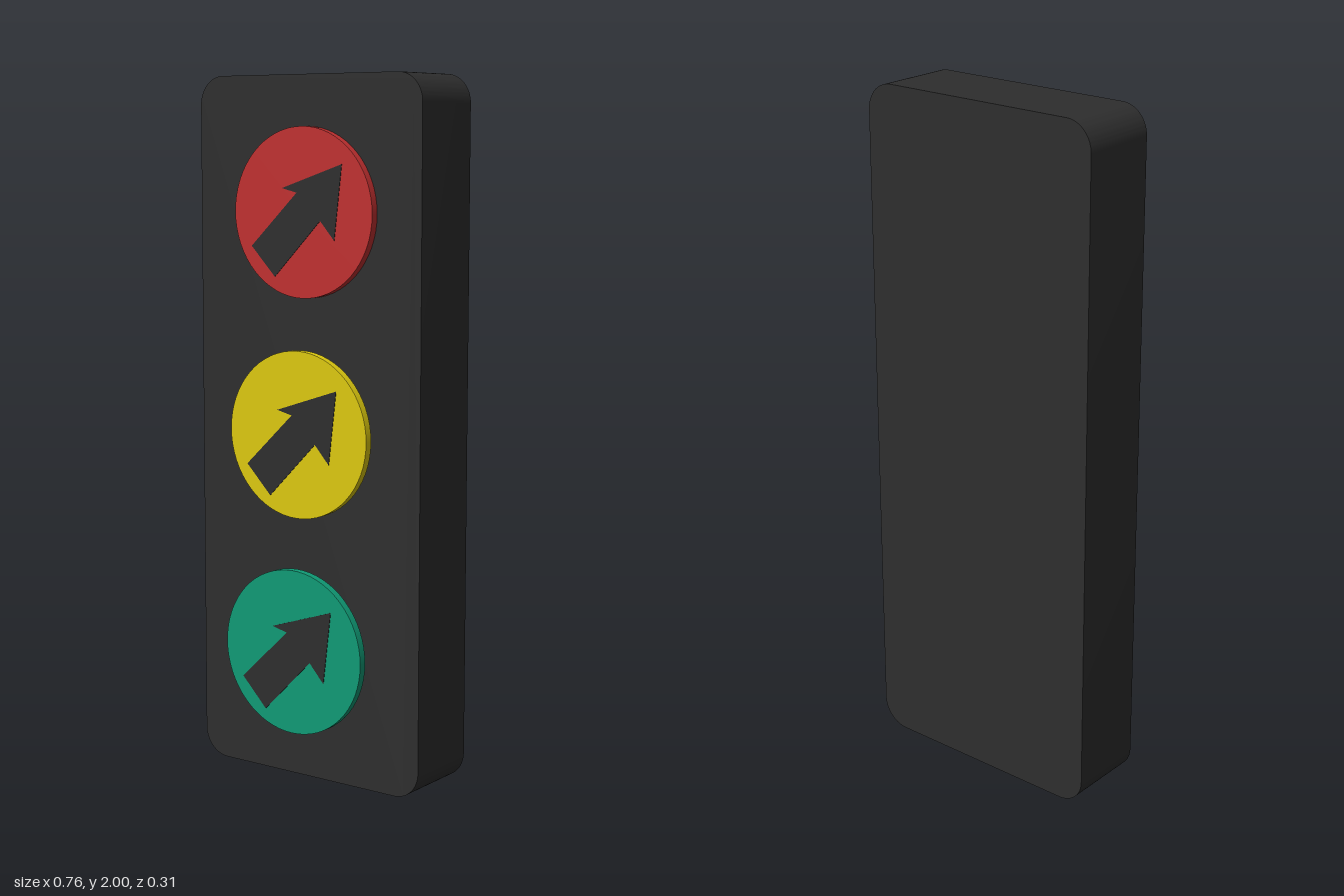
import * as THREE from 'three';
import { toCreasedNormals } from 'three/addons/utils/BufferGeometryUtils.js';

const WIDTH = 0.762, HEIGHT = 2, BACK = -0.157, FRONT = 0.08, CORNER = 0.08;
const LENS_RADIUS = 0.237, LENS_DEPTH = 0.0235, ARROW_DEPTH = 0.002;

function roundedRect(w, h, r) {
  const x = w / 2, s = new THREE.Shape();
  s.moveTo(-x + r, 0);
  s.absarc(x - r, r, r, -Math.PI / 2, 0, false);
  s.absarc(x - r, h - r, r, 0, Math.PI / 2, false);
  s.absarc(-x + r, h - r, r, Math.PI / 2, Math.PI, false);
  s.absarc(-x + r, r, r, Math.PI, Math.PI * 1.5, false);
  return s;
}

function extrude(shape, depth) {
  const g = new THREE.ExtrudeGeometry(shape, { depth, bevelEnabled: false, curveSegments: 12 });
  return toCreasedNormals(g, Math.PI / 6);
}

function addMesh(parent, name, geometry, material, x, y, z) {
  const mesh = new THREE.Mesh(geometry, material);
  mesh.name = name;
  mesh.position.set(x, y, z);
  parent.add(mesh);
  return mesh;
}

export function createModel() {
  const model = new THREE.Group();
  model.name = 'trafficLight';
  const dark = new THREE.MeshStandardMaterial({ color: 0x2e2e2e });

  // Slab housing with rounded corners
  addMesh(model, 'housing', extrude(roundedRect(WIDTH, HEIGHT, CORNER), FRONT - BACK), dark, 0, 0, BACK);

  // Diagonal arrow outline, counter-clockwise from the tip
  const arrow = extrude(new THREE.Shape([
    [0.136, 0.134], [-0.069, 0.067], [-0.018, 0.055], [-0.177, -0.096],
    [-0.095, -0.18], [0.063, -0.021], [0.111, -0.074],
  ].map(([x, y]) => new THREE.Vector2(x, y))), ARROW_DEPTH);
  const disc = new THREE.CylinderGeometry(LENS_RADIUS, LENS_RADIUS, LENS_DEPTH, 64).rotateX(Math.PI / 2);

  // Three lenses, each standing further forward than the one above
  [
    ['red', 0xc03030, 1.621],
    ['yellow', 0xdcc80f, 1.002],
    ['green', 0x109a75, 0.383],
  ].forEach(([name, color, y], i) => {
    const lamp = new THREE.Group();
    lamp.name = name + 'Lamp';
    lamp.position.set(0, y, FRONT + 0.0015 + i * 0.025);
    addMesh(lamp, name + 'Lens', disc, new THREE.MeshStandardMaterial({ color }), 0, 0, LENS_DEPTH / 2);
    addMesh(lamp, name + 'Arrow', arrow, dark, 0, 0, LENS_DEPTH - ARROW_DEPTH / 4);
    model.add(lamp);
  });

  return model;
}
